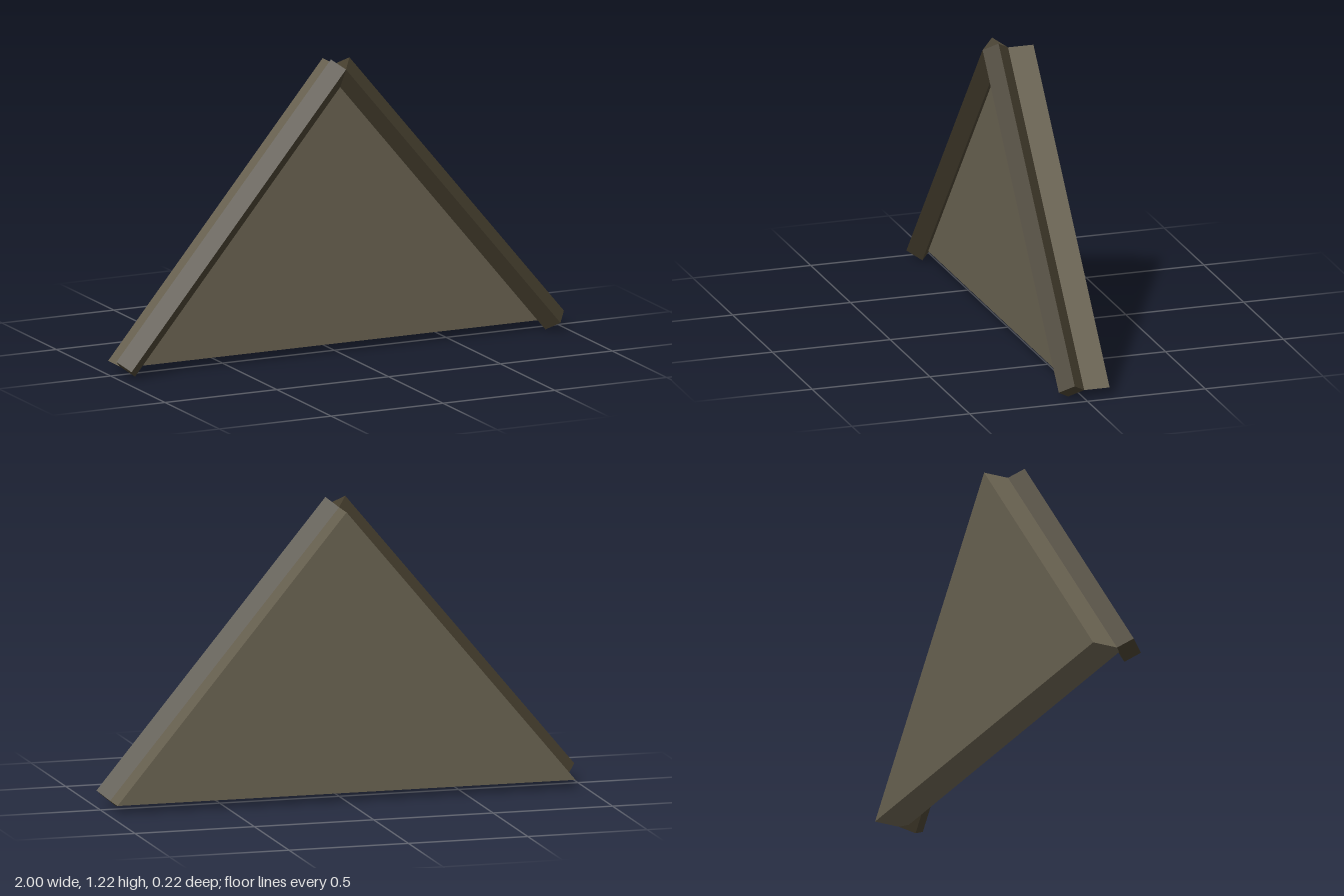
import * as THREE from 'three';

const HALF = 0.959;   // half width at the eaves
const BASE = 0.035;   // height of the eaves
const APEX = 1.186;   // height of the ridge
const BEAM = 0.108;   // beam thickness across its corners
const BACK = -0.108;  // rear face of the panel
const FRONT = 0.027;  // front face of the panel, set into the beams

export function createModel() {
  const model = new THREE.Group();
  model.name = 'gable';
  const panelMat = new THREE.MeshStandardMaterial({ color: 0x686150, flatShading: true });
  panelMat.name = 'weathered panel';
  const beamMat = new THREE.MeshStandardMaterial({ color: 0x453e2e, flatShading: true });
  beamMat.name = 'dark beam';

  // Triangular wall panel, its front face let into the beams
  const outline = new THREE.Shape();
  outline.moveTo(-HALF, BASE);
  outline.lineTo(HALF, BASE);
  outline.lineTo(0, APEX);
  outline.closePath();
  const panel = new THREE.Mesh(
    new THREE.ExtrudeGeometry(outline, { depth: FRONT - BACK, bevelEnabled: false }), panelMat);
  panel.position.z = BACK;
  panel.name = 'gablePanel';
  model.add(panel);

  // Square beams turned on edge along both slopes, meeting at the apex
  const rise = APEX - BASE;
  const beamGeo = new THREE.CylinderGeometry(BEAM / 2, BEAM / 2, Math.hypot(HALF, rise), 4);
  for (const side of [-1, 1]) {
    const beam = new THREE.Mesh(beamGeo, beamMat);
    beam.position.set(side * HALF / 2, (BASE + APEX) / 2, BEAM / 2);
    beam.rotation.z = side * Math.atan2(HALF, rise);
    beam.name = side > 0 ? 'leftBeam' : 'rightBeam';
    model.add(beam);
  }
  return model;
}
